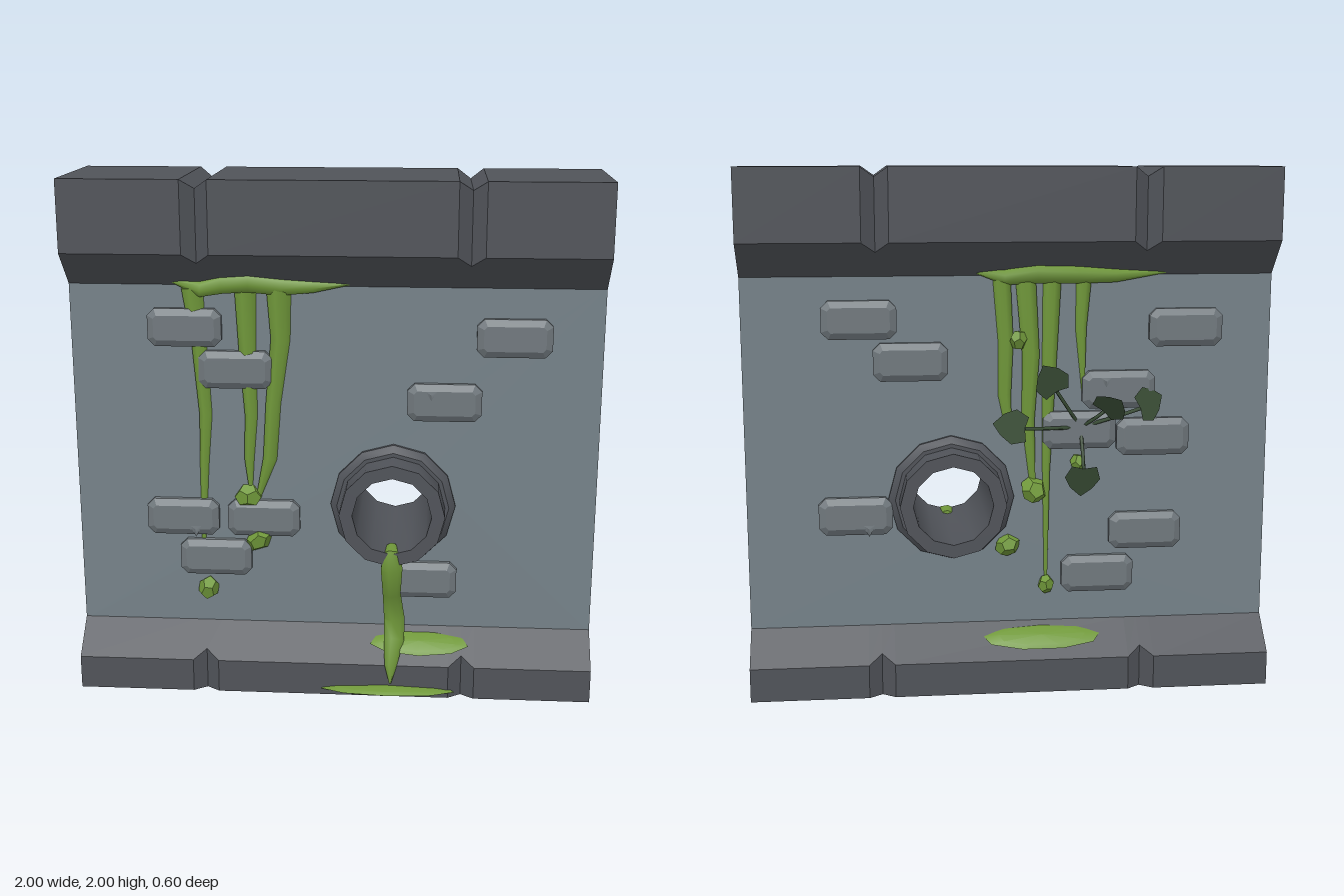
import * as THREE from 'three';
import { toCreasedNormals } from 'three/addons/utils/BufferGeometryUtils.js';

const mat = (name, color, side = THREE.FrontSide) => {
  const m = new THREE.MeshStandardMaterial({ color, side });
  m.name = name;
  return m;
};

// Skin a list of rings (each an array of Vector3, counter-clockwise about the path)
function loft(rings, crease, skipSide = -1) {
  const pos = [], n = rings[0].length;
  const tri = (...p) => p.forEach(v => pos.push(v.x, v.y, v.z));
  for (let i = 0; i + 1 < rings.length; i++) {
    for (let j = 0; j < n; j++) {
      if (j === skipSide) continue;
      const k = (j + 1) % n, a = rings[i], b = rings[i + 1];
      tri(a[j], a[k], b[j]);
      tri(a[k], b[k], b[j]);
    }
  }
  const first = rings[0], last = rings[rings.length - 1];
  for (let j = 1; j + 1 < n; j++) {
    tri(first[0], first[j + 1], first[j]);
    tri(last[0], last[j], last[j + 1]);
  }
  const g = new THREE.BufferGeometry();
  g.setAttribute('position', new THREE.Float32BufferAttribute(pos, 3));
  g.computeVertexNormals();
  return crease ? toCreasedNormals(g, crease) : g;
}

// Stone course along x, with V grooves at x = -0.5 and 0.5; profiles are [y, z]
function course(plain, grooved, skipSide) {
  const stations = [[-1, 0], [-0.55, 0], [-0.5, 1], [-0.45, 0], [0.45, 0], [0.5, 1], [0.55, 0], [1, 0]];
  return loft(stations.map(([x, cut]) =>
    (cut ? grooved : plain).map(([y, z]) => new THREE.Vector3(x, y, z))), 0, skipSide);
}

// Tapering slime strand through [x, y, z, radius] stations
function strand(stations, flat = 0.7, sides = 7) {
  const p = stations.map(s => new THREE.Vector3(s[0], s[1], s[2]));
  const zAxis = new THREE.Vector3(0, 0, 1);
  return loft(p.map((c, i) => {
    const t = p[Math.min(i + 1, p.length - 1)].clone().sub(p[Math.max(i - 1, 0)]).normalize();
    const n = zAxis.clone().cross(t).normalize(), b = t.clone().cross(n);
    return Array.from({ length: sides }, (_, j) => {
      const a = j / sides * Math.PI * 2, r = stations[i][3];
      return c.clone().addScaledVector(n, r * Math.cos(a)).addScaledVector(b, r * flat * Math.sin(a));
    });
  }), 1.1);
}

export function createModel() {
  const wallStone = mat('wall stone', 0x758188);
  const darkStone = mat('dark stone', 0x505359, THREE.DoubleSide);
  const brickStone = mat('brick stone', 0x70787d);
  const slime = mat('slime green', 0x70983a);
  const leafGreen = mat('leaf green', 0x3c5038, THREE.DoubleSide);

  const model = new THREE.Group();
  model.name = 'sewerWall';
  const body = new THREE.Group();
  body.name = 'body';
  body.position.z = -0.015;
  model.add(body);
  const add = (name, geo, material, parent = body) => {
    const m = new THREE.Mesh(geo, material);
    m.name = name;
    parent.add(m);
    return m;
  };

  // Wall slab with a round opening for the pipe
  const PX = 0.225, PY = 0.755;
  const slab = new THREE.Shape([[-1, 0.24], [1, 0.24], [1, 1.61], [-1, 1.61]].map(p => new THREE.Vector2(...p)));
  slab.holes.push(new THREE.Path().absarc(PX, PY, 0.175, 0, Math.PI * 2, true));
  const slabGeo = new THREE.ExtrudeGeometry(slab, { depth: 0.25, bevelEnabled: false, curveSegments: 16 });
  add('wall', slabGeo.translate(0, 0, -0.125), wallStone);

  // Cap and open-bottomed base
  add('cap', course(
    [[2, -0.25], [2, 0.25], [1.73, 0.25], [1.6, 0.125], [1.6, -0.125], [1.73, -0.25]],
    [[1.965, -0.215], [1.965, 0.215], [1.694, 0.215], [1.6, 0.125], [1.6, -0.125], [1.694, -0.215]]), darkStone);
  add('base', course(
    [[0.25, -0.125], [0.25, 0.125], [0.13, 0.25], [0, 0.25], [0, -0.25], [0.13, -0.25]],
    [[0.25, -0.125], [0.25, 0.125], [0.164, 0.215], [0, 0.215], [0, -0.215], [0.164, -0.215]], 3), darkStone);

  // Pipe with a wide collar, running through the wall
  const pipeProfile = [[0.15, -0.28], [0.2, -0.28], [0.2, -0.165], [0.215, -0.165], [0.24, -0.14],
    [0.24, 0.14], [0.215, 0.165], [0.2, 0.165], [0.2, 0.28], [0.15, 0.28], [0.15, -0.28]];
  const pipeGeo = new THREE.LatheGeometry(pipeProfile.map(p => new THREE.Vector2(...p)), 12);
  const pipe = add('pipe', toCreasedNormals(pipeGeo, 0.6), darkStone);
  pipe.rotation.x = Math.PI / 2;
  pipe.position.set(PX, PY, 0);

  // Raised bricks; back ones are turned round
  const w = 0.115, h = 0.047, c = 0.012;
  const brickShape = new THREE.Shape([[-w + c, -h], [w - c, -h], [w, -h + c], [w, h - c],
    [w - c, h], [-w + c, h], [-w, h - c], [-w, -h + c]].map(p => new THREE.Vector2(...p)));
  const brickGeo = new THREE.ExtrudeGeometry(brickShape,
    { depth: 0.035, bevelEnabled: true, bevelSize: 0.025, bevelThickness: 0.016, bevelSegments: 1 });
  const chipGeo = new THREE.ConeGeometry(0.032, 0.012, 3).rotateX(Math.PI / 2);
  const frontBricks = [[-0.565, 1.44], [-0.375, 1.28], [0.67, 1.415], [0.415, 1.165],
    [-0.59, 0.69], [-0.275, 0.69], [-0.465, 0.525], [0.335, 0.45]];
  const backBricks = [[0.565, 1.44], [0.375, 1.28], [-0.67, 1.4], [-0.415, 1.165],
    [0.59, 0.69], [-0.265, 1.01], [-0.55, 0.98], [-0.525, 0.61], [-0.34, 0.44]];
  [[frontBricks, 1], [backBricks, -1]].forEach(([list, side]) => {
    const turn = side > 0 ? 0 : Math.PI;
    list.forEach(([x, y]) => {
      const b = add('brick', brickGeo, brickStone);
      b.position.set(x, y, side * 0.109);
      b.rotation.y = turn;
    });
    [[0.365, 1.2], [-0.54, 0.645]].forEach(([x, y]) => {
      const chip = add('brickChip', chipGeo, brickStone);
      chip.position.set(side * x, y, side * 0.163);
      chip.rotation.y = turn;
    });
  });

  // Slime hanging under the cap, front and back
  const strands = {
    frontSmear: [[-0.61, 1.615, 0.13, 0.006], [-0.5, 1.585, 0.14, 0.03], [-0.42, 1.605, 0.145, 0.036],
      [-0.32, 1.615, 0.145, 0.04], [-0.2, 1.6, 0.14, 0.036], [-0.08, 1.6, 0.135, 0.025], [0.055, 1.61, 0.13, 0.005]],
    frontDrip1: [[-0.535, 1.59, 0.125, 0.042], [-0.515, 1.4, 0.125, 0.03], [-0.495, 1.1, 0.125, 0.025],
      [-0.505, 0.9, 0.125, 0.018], [-0.515, 0.58, 0.125, 0.008]],
    frontDrip2: [[-0.335, 1.59, 0.13, 0.042], [-0.33, 1.35, 0.13, 0.034], [-0.32, 1.1, 0.128, 0.025],
      [-0.33, 0.93, 0.128, 0.02], [-0.325, 0.78, 0.128, 0.005]],
    frontDrip3: [[-0.21, 1.59, 0.13, 0.048], [-0.205, 1.4, 0.13, 0.038], [-0.235, 1.15, 0.128, 0.03],
      [-0.25, 0.93, 0.128, 0.028], [-0.3, 0.76, 0.128, 0.008]],
    backSmear: [[0.13, 1.615, -0.13, 0.006], [0.02, 1.595, -0.14, 0.03], [-0.1, 1.61, -0.145, 0.04],
      [-0.25, 1.605, -0.145, 0.036], [-0.4, 1.6, -0.135, 0.028], [-0.59, 1.61, -0.13, 0.005]],
    backDrip1: [[0.03, 1.59, -0.13, 0.035], [0.015, 1.35, -0.13, 0.03], [0.02, 1.15, -0.13, 0.026], [0.0, 0.97, -0.13, 0.008]],
    backDrip2: [[-0.06, 1.59, -0.13, 0.04], [-0.08, 1.3, -0.135, 0.034], [-0.07, 1.05, -0.13, 0.026], [-0.09, 0.77, -0.13, 0.01]],
    backDrip3: [[-0.16, 1.59, -0.13, 0.036], [-0.15, 1.25, -0.13, 0.028], [-0.14, 0.85, -0.13, 0.015], [-0.14, 0.4, -0.13, 0.006]],
    backDrip4: [[-0.28, 1.59, -0.13, 0.03], [-0.27, 1.4, -0.13, 0.022], [-0.28, 1.16, -0.13, 0.006]],
    // Slime pouring over the pipe lip and down to the base
    pipeDrip: [[0.225, 0.605, 0.19, 0.02], [0.225, 0.6, 0.265, 0.035], [0.225, 0.545, 0.27, 0.043],
      [0.225, 0.42, 0.215, 0.036], [0.235, 0.3, 0.17, 0.042], [0.235, 0.22, 0.195, 0.042],
      [0.225, 0.13, 0.25, 0.025], [0.225, 0.06, 0.262, 0.004]],
  };
  Object.entries(strands).forEach(([name, s]) => add(name, strand(s), slime));

  // Slime blobs: x, y, z, radius
  const blobGeo = new THREE.DodecahedronGeometry(1, 0);
  [[-0.335, 0.775, 0.13, 0.055], [-0.295, 0.6, 0.13, 0.058], [-0.5, 0.39, 0.13, 0.055],
    [-0.03, 1.36, -0.155, 0.042], [-0.09, 0.78, -0.14, 0.058], [0.01, 0.56, -0.135, 0.055],
    [-0.14, 0.4, -0.14, 0.042], [-0.26, 0.88, -0.14, 0.04]].forEach(([x, y, z, r], i) => {
    const b = add('slimeBlob', blobGeo, slime);
    b.position.set(x, y, z);
    b.rotation.set(i, i * 0.7, i * 0.4);
    b.scale.set(r, r * 0.9, r * 0.75);
  });

  // Low puddles: position, half width, half depth, tilt about x
  const puddleGeo = toCreasedNormals(new THREE.LatheGeometry(
    [[0, -0.5], [0.8, -0.4], [1, 0], [0.75, 0.5], [0, 0.9]].map(p => new THREE.Vector2(...p)), 9), 0.7);
  [['groundPuddle', 0.215, 0.03, 0.25, 0.265, 0.055, 0.05], ['frontSlopePuddle', 0.335, 0.2, 0.185, 0.195, 0.06, 0.55],
    ['backSlopePuddle', -0.12, 0.2, -0.185, 0.23, 0.06, -0.6]].forEach(([name, x, y, z, a, b, tilt]) => {
    const p = add(name, puddleGeo, slime);
    p.position.set(x, y, z);
    p.rotation.x = tilt;
    p.scale.set(a, 0.018, b);
  });

  // Leafy plant on the back, stems fanning out from one root
  const leafGeo = new THREE.ShapeGeometry(new THREE.Shape([[0, 0], [0.05, -0.01], [0.068, 0.045], [0.04, 0.09],
    [0, 0.125], [-0.045, 0.085], [-0.068, 0.04], [-0.045, -0.01]].map(p => new THREE.Vector2(...p))));
  const root = new THREE.Vector3(-0.27, 1.02, -0.135);
  [[-0.05, 1.03, 1.45, 0.3], [-0.17, 1.17, 0.5, -0.3], [-0.35, 1.09, -0.7, -0.9],
    [-0.49, 1.1, -1.2, 0.6], [-0.275, 0.87, 3.1, 0.35]].forEach(([x, y, angle, tilt]) => {
    const plant = new THREE.Group();
    plant.name = 'leafStem';
    body.add(plant);
    const tip = new THREE.Vector3(x, y, -0.2);
    const curve = new THREE.QuadraticBezierCurve3(root, root.clone().lerp(tip, 0.5).setZ(-0.19), tip);
    add('stem', new THREE.TubeGeometry(curve, 4, 0.007, 4), leafGreen, plant);
    const leaf = add('leaf', leafGeo, leafGreen, plant);
    leaf.position.copy(tip);
    leaf.rotation.set(tilt, 0, -angle, 'ZXY');
  });

  return model;
}
